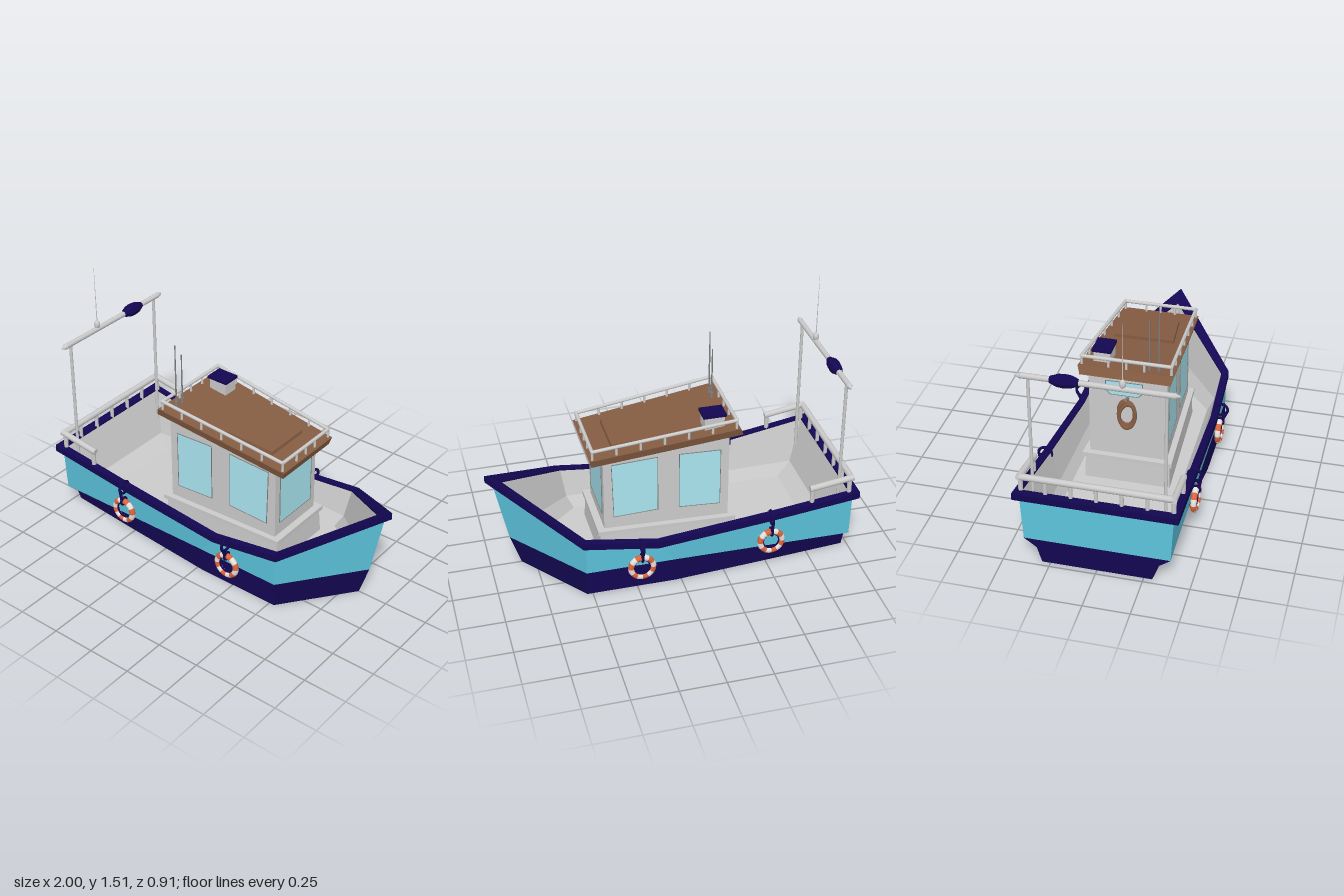
import * as THREE from 'three';

const NAVY = 0x130752, TEAL = 0x5cc4dc, GREY = 0xcccccc, WOOD = 0x855c42, GLASS = 0xaae6f2, ORANGE = 0xe0643c, WHITE = 0xe8e4e0, FRAME = 0x808080;
const mats = {};
const mat = (color, flat) => (mats[color + '_' + flat] ??= new THREE.MeshStandardMaterial({ color, flatShading: flat }));

function add(parent, name, geo, color, pos = [0, 0, 0], flat = false) {
  const m = new THREE.Mesh(geo, mat(color, flat));
  m.name = name;
  m.position.set(...pos);
  parent.add(m);
  return m;
}

// Half stations [x, y, halfWidth] from stern to bow become a closed loop, mirrored over z
function loop(stations) {
  const back = stations.filter((s) => s[2] > 0).reverse().map(([x, y, w]) => [x, y, -w]);
  return [...stations, ...back];
}

// Skin successive loops (top to bottom faces outward), one normal per panel, with optional end caps
function loft(halfLoops, capTop = false, capBottom = false) {
  const loops = halfLoops.map(loop), n = loops[0].length, pos = [], nor = [];
  const vec = (p, q) => new THREE.Vector3(q[0] - p[0], q[1] - p[1], q[2] - p[2]);
  const quad = (a, b, c, d) => {
    const normal = vec(a, c).cross(vec(b, d)).normalize().toArray();
    for (const p of [a, b, c, a, c, d]) {
      pos.push(...p);
      nor.push(...normal);
    }
  };
  for (let k = 0; k < loops.length - 1; k++) {
    const a = loops[k], b = loops[k + 1];
    for (let i = 0; i < n; i++) {
      const j = (i + 1) % n;
      quad(b[i], b[j], a[j], a[i]);
    }
  }
  const cap = (p, up) => {
    for (let i = 0; i < (n - 1) / 2 - 0.5 + (n % 2) * 0.5; i++) {
      const q = [p[i], p[i + 1], p[n - 2 - i], p[n - 1 - i]];
      quad(...(up ? q : q.reverse()));
    }
  };
  if (capTop) cap(loops[0], true);
  if (capBottom) cap(loops[loops.length - 1], false);
  const g = new THREE.BufferGeometry();
  g.setAttribute('position', new THREE.Float32BufferAttribute(pos, 3));
  g.setAttribute('normal', new THREE.Float32BufferAttribute(nor, 3));
  return g;
}

const lower = (stations, dy) => stations.map(([x, y, w]) => [x, y - dy, w]);

// Round bar between two points
function rod(parent, name, a, b, r, color = GREY, r2 = r) {
  const p = new THREE.Vector3(...a), q = new THREE.Vector3(...b), d = q.clone().sub(p);
  const m = add(parent, name, new THREE.CylinderGeometry(r2, r, d.length(), 10), color);
  m.position.copy(p).add(q).multiplyScalar(0.5);
  m.quaternion.setFromUnitVectors(new THREE.Vector3(0, 1, 0), d.normalize());
}

// Glazed window from outline points, facing +z, with a thin frame
function windowPane(parent, name, pts, pos, rotY) {
  const g = new THREE.Group();
  g.name = name;
  g.position.set(...pos);
  g.rotation.y = rotY;
  const v = pts.map((p) => new THREE.Vector2(...p));
  const c = v.reduce((s, p) => s.add(p), new THREE.Vector2()).divideScalar(v.length);
  const grown = v.map((p) => new THREE.Vector2(p.x + Math.sign(p.x - c.x) * 0.003, p.y + Math.sign(p.y - c.y) * 0.003));
  const frame = new THREE.Shape(grown);
  frame.holes.push(new THREE.Path(v));
  add(g, 'windowFrame', new THREE.ExtrudeGeometry(frame, { depth: 0.008, bevelEnabled: false }), FRAME, [0, 0, -0.004], true);
  add(g, 'windowGlass', new THREE.ExtrudeGeometry(new THREE.Shape(v), { depth: 0.006, bevelEnabled: false }), GLASS, [0, 0, -0.004], true);
  parent.add(g);
}

function buildHull(boat) {
  const top = [[-0.97, 0.41, 0.405], [-0.5, 0.335, 0.4], [0.13, 0.262, 0.39], [0.53, 0.318, 0.382], [0.965, 0.575, 0]];
  const chine = [[-0.97, 0.14, 0.39], [-0.5, 0.14, 0.385], [0.03, 0.14, 0.38], [0.53, 0.14, 0.38], [0.885, 0.18, 0]];
  const step = [[-0.97, 0.09, 0.322], [-0.5, 0.113, 0.35], [0.03, 0.138, 0.38], [0.53, 0.138, 0.38], [0.884, 0.178, 0]];
  const keel = [[-0.97, 0, 0.295], [-0.5, 0, 0.337], [0.03, 0, 0.38], [0.53, 0, 0.38], [0.826, 0, 0]];
  add(boat, 'upperHull', loft([top, chine]), TEAL);
  add(boat, 'lowerHull', loft([chine, step, keel], false, true), NAVY);

  // Rail cap around the sheer
  const outer = [[-1, 0.44, 0.435], [-0.5, 0.367, 0.42], [0.13, 0.292, 0.405], [0.545, 0.348, 0.392], [1, 0.607, 0]];
  const inner = [[-0.95, 0.435, 0.395], [-0.5, 0.367, 0.38], [0.13, 0.292, 0.368], [0.525, 0.345, 0.352], [0.915, 0.56, 0]];
  add(boat, 'gunwale', loft([lower(inner, 0.04), inner, outer, lower(outer, 0.04), lower(inner, 0.04)]), NAVY);

  // Inner bulwark and deck
  const bilge = [[-0.87, 0.18, 0.335], [-0.5, 0.175, 0.335], [0.13, 0.17, 0.33], [0.5, 0.175, 0.32], [0.86, 0.24, 0]];
  const deck = [[-0.785, 0.11, 0.295], [-0.5, 0.11, 0.295], [0.13, 0.11, 0.29], [0.465, 0.11, 0.285], [0.8, 0.11, 0]];
  add(boat, 'deckAndBulwark', loft([deck, bilge, lower(inner, 0.01)], true), GREY);
}

const roofY = (x) => 0.845 - 0.122 * (x + 0.355);

function buildCabin(boat) {
  const cabin = new THREE.Group();
  cabin.name = 'cabin';
  boat.add(cabin);
  const slab = (name, top, bottom, color) => add(cabin, name, loft([top, bottom], true, true), color);
  slab('cabinPlinth', [[-0.33, 0.255, 0.235], [0.41, 0.255, 0.2]], [[-0.335, 0.1, 0.24], [0.42, 0.1, 0.205]], GREY);
  slab('cabinLedge', [[-0.345, 0.275, 0.25], [0.425, 0.275, 0.212]], [[-0.345, 0.25, 0.25], [0.425, 0.25, 0.212]], GREY);
  slab('cabinWalls', [[-0.31, 0.81, 0.215], [0.385, 0.73, 0.182]], [[-0.31, 0.26, 0.215], [0.385, 0.26, 0.182]], GREY);
  slab('roof', [[-0.36, roofY(-0.36), 0.26], [0.465, roofY(0.465), 0.22]], [[-0.378, 0.8, 0.246], [0.452, 0.702, 0.21]], WOOD);
  slab('roofHatch', [[0.05, roofY(0.05) + 0.018, 0.165], [0.325, roofY(0.325) + 0.018, 0.135]], [[0.05, roofY(0.05) - 0.01, 0.168], [0.33, roofY(0.33) - 0.01, 0.138]], WOOD);

  // Side, front and rear windows
  const aft = [[-0.262, 0.355], [-0.035, 0.362], [-0.035, 0.702], [-0.262, 0.7]];
  const fore = [[0.087, 0.364], [0.33, 0.347], [0.338, 0.68], [0.087, 0.7]];
  const tilt = Math.atan(0.033 / 0.695), z0 = 0.215 - 0.31 * 0.0475;
  for (const pts of [aft, fore]) {
    windowPane(cabin, 'sideWindow', pts, [0, 0, z0], tilt);
    windowPane(cabin, 'sideWindow', pts.map(([x, y]) => [-x, y]).reverse(), [0, 0, -z0], Math.PI - tilt);
  }
  windowPane(cabin, 'frontWindow', [[-0.14, 0.35], [0.14, 0.35], [0.14, 0.668], [-0.14, 0.668]], [0.385, 0, 0], Math.PI / 2);
  windowPane(cabin, 'rearWindow', [[-0.12, 0.685], [-0.095, 0.66], [0.055, 0.66], [0.08, 0.685], [0.08, 0.74], [-0.12, 0.74]], [-0.31, 0, 0], -Math.PI / 2);

  // Coiled rope leaning on the rear wall
  for (let i = 0; i < 3; i++) {
    const coil = add(cabin, 'ropeCoil', new THREE.TorusGeometry(0.044 + 0.004 * (i % 2), 0.008, 8, 28), WOOD, [-0.328 - 0.006 * i, 0.56 - 0.006 * i, 0.005 * (i - 1)]);
    coil.rotation.set(0, Math.PI / 2, 0.1 * (i - 1));
    coil.rotateX(0.12);
    coil.scale.y = 1.6;
  }
  rod(cabin, 'ropeHook', [-0.31, 0.645, 0], [-0.355, 0.66, 0], 0.008, FRAME);

  // Roof rail
  const rail = (x, s) => [x, roofY(x) + 0.05, s * (0.243 - 0.046 * (x + 0.34))];
  const post = (x, z) => rod(cabin, 'roofRailPost', [x, roofY(x), z], [x, roofY(x) + 0.05, z], 0.007);
  for (const s of [1, -1]) {
    rod(cabin, 'roofRail', rail(-0.345, s), rail(0.45, s), 0.01);
    for (let i = 0; i < 7; i++) {
      const x = -0.34 + i * 0.131;
      post(x, rail(x, s)[2]);
    }
  }
  for (const x of [-0.34, 0.446]) {
    rod(cabin, 'roofRail', rail(x, 1), rail(x, -1), 0.01);
    for (const f of [-0.4, 0, 0.4]) post(x, f * rail(x, 1)[2]);
  }

  // Roof vent box and antennas
  add(cabin, 'ventBox', new THREE.BoxGeometry(0.11, 0.08, 0.09), GREY, [-0.232, 0.855, -0.147], true);
  add(cabin, 'ventLid', new THREE.BoxGeometry(0.13, 0.014, 0.105), NAVY, [-0.232, 0.905, -0.147], true);
  for (const [z, y] of [[0.168, 1.22], [0.117, 1.14]]) {
    rod(cabin, 'antennaBase', [-0.305, 0.83, z], [-0.305, 0.87, z], 0.009, FRAME);
    rod(cabin, 'antenna', [-0.305, 0.84, z], [-0.305, y, z], 0.005, FRAME, 0.003);
  }
}

function buildMast(boat) {
  const mast = new THREE.Group();
  mast.name = 'sternMast';
  boat.add(mast);
  const x = -0.907, y = 1.1;
  for (const s of [1, -1]) {
    rod(mast, 'mastPost', [x, 0.2, s * 0.348], [x, y, s * 0.348], 0.009);
    rod(mast, 'crossbarTip', [x, y, s * 0.385], [x, y, s * 0.415], 0.017, GREY, 0.004);
  }
  rod(mast, 'crossbar', [x, y, -0.385], [x, y, 0.385], 0.015);
  const drum = [[0.018, -0.074], [0.033, -0.035], [0.036, 0], [0.033, 0.035], [0.018, 0.074]].map((p) => new THREE.Vector2(...p));
  add(mast, 'radarDrum', new THREE.LatheGeometry(drum, 8), NAVY, [x, y, -0.162], true).rotation.x = Math.PI / 2;
  add(mast, 'mastAntennaBase', new THREE.SphereGeometry(0.017, 12, 8), GREY, [x, 1.128, 0.13]).scale.y = 1.5;
  rod(mast, 'mastAntenna', [x, 1.13, 0.13], [x, 1.51, 0.13], 0.003, GREY, 0.0005);
}

function buildSternRail(boat) {
  const g = new THREE.Group();
  g.name = 'sternRail';
  boat.add(g);
  for (const s of [1, -1]) {
    rod(g, 'sideRail', [-0.97, 0.524, s * 0.402], [-0.72, 0.486, s * 0.398], 0.018);
    for (const x of [-0.948, -0.735]) rod(g, 'railPost', [x, 0.39, s * 0.4], [x, 0.52 - 0.15 * (x + 0.955), s * 0.4], 0.013);
  }
  rod(g, 'transomRail', [-0.957, 0.522, -0.402], [-0.957, 0.522, 0.402], 0.018);
  for (let i = 1; i < 6; i++) rod(g, 'railPost', [-0.957, 0.42, -0.4 + i * 0.1333], [-0.957, 0.52, -0.4 + i * 0.1333], 0.011);
}

// Striped life ring hung from the gunwale by a rope
function buildLifeRing(boat, x, y, railY, z) {
  const g = new THREE.Group();
  g.name = 'lifeRing';
  boat.add(g);
  const s = Math.sign(z), arc = Math.PI / 6;
  for (let i = 0; i < 12; i++) {
    add(g, 'ringSegment', new THREE.TorusGeometry(0.062, 0.017, 10, 4, arc), i % 2 ? WHITE : ORANGE, [x, y, z]).rotation.z = i * arc;
  }
  add(g, 'innerRope', new THREE.TorusGeometry(0.047, 0.006, 8, 28), NAVY, [x, y, z]);
  add(g, 'railLoop', new THREE.TorusGeometry(0.037, 0.008, 8, 20), NAVY, [x, railY - 0.018, s * 0.412]).rotation.y = Math.PI / 2;
  add(g, 'ringLoop', new THREE.TorusGeometry(0.022, 0.007, 8, 16), NAVY, [x, y + 0.062, z]).rotation.y = Math.PI / 2;
  rod(g, 'hangingRope', [x, railY - 0.03, s * 0.445], [x, y + 0.075, z + s * 0.015], 0.009, NAVY);
}

export function createModel() {
  const boat = new THREE.Group();
  boat.name = 'fishingBoat';
  buildHull(boat);
  buildCabin(boat);
  buildMast(boat);
  buildSternRail(boat);
  for (const s of [1, -1]) {
    buildLifeRing(boat, -0.5, 0.195, 0.365, s * 0.42);
    buildLifeRing(boat, 0.228, 0.145, 0.305, s * 0.405);
  }
  return boat;
}
